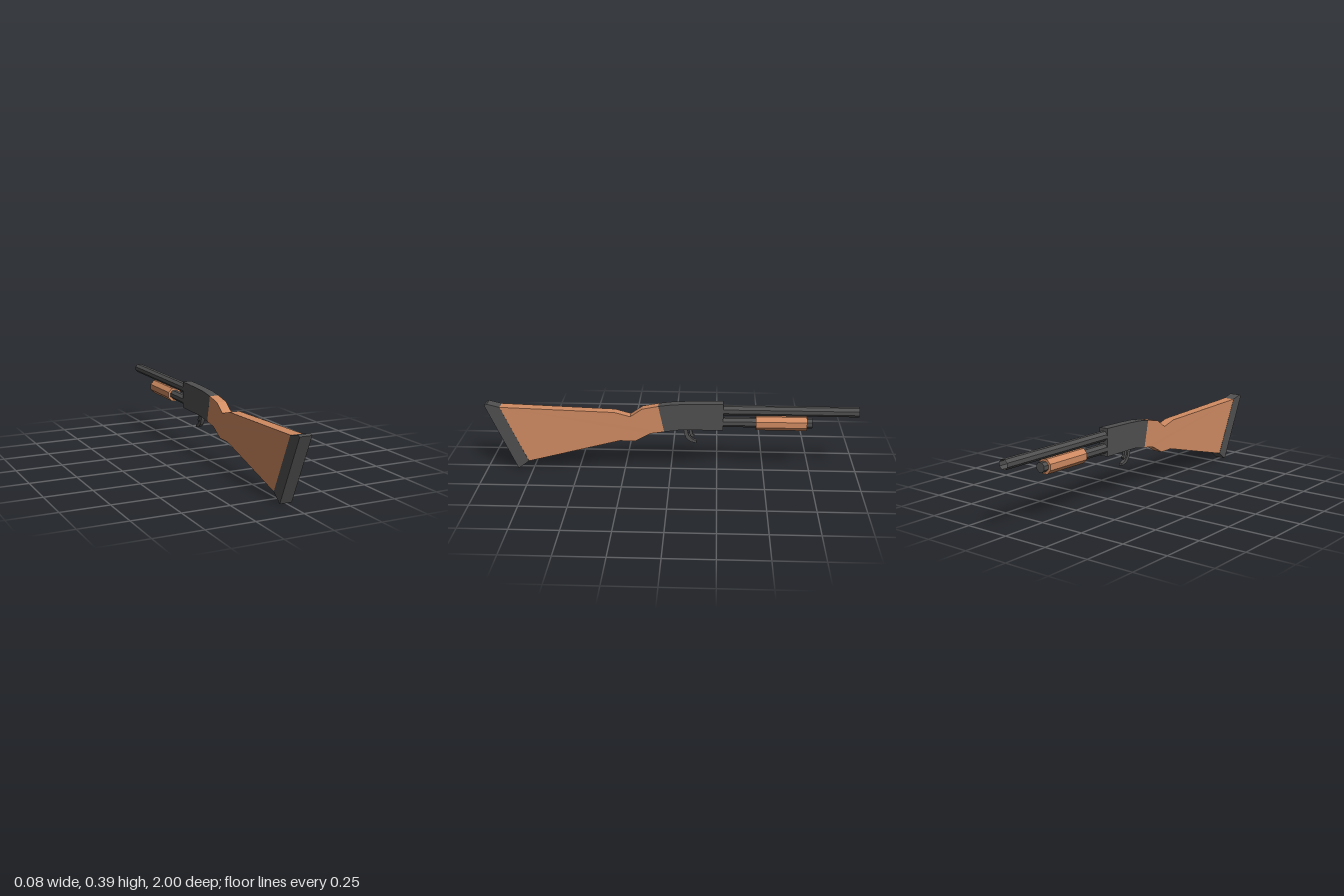
import * as THREE from 'three';

const metal = new THREE.MeshStandardMaterial({ color: 0x505050, flatShading: true });
const openMetal = new THREE.MeshStandardMaterial({ color: 0x505050, flatShading: true, side: THREE.DoubleSide });
const wood = new THREE.MeshStandardMaterial({ color: 0xd08b62, flatShading: true });

// Side profile of [z, y] points, given thickness by a half-width rule along z
function slab(name, points, halfWidth, material) {
  const shape = new THREE.Shape(points.map(([z, y]) => new THREE.Vector2(z, y)));
  const geometry = new THREE.ExtrudeGeometry(shape, { depth: 1, bevelEnabled: false });
  geometry.translate(0, 0, -0.5).rotateY(-Math.PI / 2);
  const p = geometry.attributes.position;
  for (let i = 0; i < p.count; i++) p.setX(i, Math.sign(p.getX(i)) * halfWidth(p.getZ(i)));
  geometry.computeVertexNormals();
  const mesh = new THREE.Mesh(geometry, material);
  mesh.name = name;
  return mesh;
}

// Faceted rod along z with flats at the top, bottom and sides
function rod(name, apothem, y, zBack, zFront, material, open = false) {
  const sides = 8;
  const radius = apothem / Math.cos(Math.PI / sides);
  const geometry = new THREE.CylinderGeometry(radius, radius, zBack - zFront, sides, 1, open);
  geometry.rotateY(Math.PI / sides).rotateX(Math.PI / 2);
  const mesh = new THREE.Mesh(geometry, material);
  mesh.position.set(0, y, (zBack + zFront) / 2);
  mesh.name = name;
  return mesh;
}

export function createModel() {
  const model = new THREE.Group();
  model.name = 'shotgun';

  // Stock widens gently towards the butt
  const stockWidth = (z) => 0.0255 + 0.0065 * THREE.MathUtils.clamp((z - 0.05) / 0.85, 0, 1);
  model.add(slab('stock', [
    [0.067, 0.37], [0.153, 0.353], [0.217, 0.309], [0.3, 0.332], [0.917, 0.353],
    [0.774, 0.043], [0.276, 0.17], [0.19, 0.169], [0.11, 0.214], [0.035, 0.225],
  ], stockWidth, wood));
  model.add(slab('buttPad', [
    [0.917, 0.353], [0.985, 0.37], [1, 0.363], [0.833, 0], [0.774, 0.043],
  ], () => 0.0327, metal));

  // Receiver block
  model.add(slab('receiver', [
    [0.067, 0.37], [-0.01, 0.38], [-0.1, 0.384], [-0.28, 0.387],
    [-0.28, 0.238], [-0.055, 0.238], [0.035, 0.225],
  ], () => 0.0257, metal));

  // Barrel and magazine with the sliding fore-end
  model.add(rod('barrel', 0.025, 0.345, -0.27, -1, openMetal, true));
  model.add(rod('magazineTube', 0.025, 0.278, -0.27, -0.755, metal));
  model.add(rod('foreEnd', 0.038, 0.278, -0.455, -0.725, wood));

  // Curved guard and the trigger inside it
  model.add(slab('triggerGuard', [
    [-0.067, 0.245], [-0.072, 0.21], [-0.082, 0.185], [-0.105, 0.165], [-0.14, 0.156],
    [-0.14, 0.17], [-0.115, 0.18], [-0.095, 0.203], [-0.088, 0.245],
  ], () => 0.01, metal));
  model.add(slab('trigger', [
    [-0.098, 0.245], [-0.1, 0.21], [-0.108, 0.195], [-0.122, 0.188],
    [-0.127, 0.2], [-0.116, 0.21], [-0.113, 0.245],
  ], () => 0.007, metal));

  return model;
}
